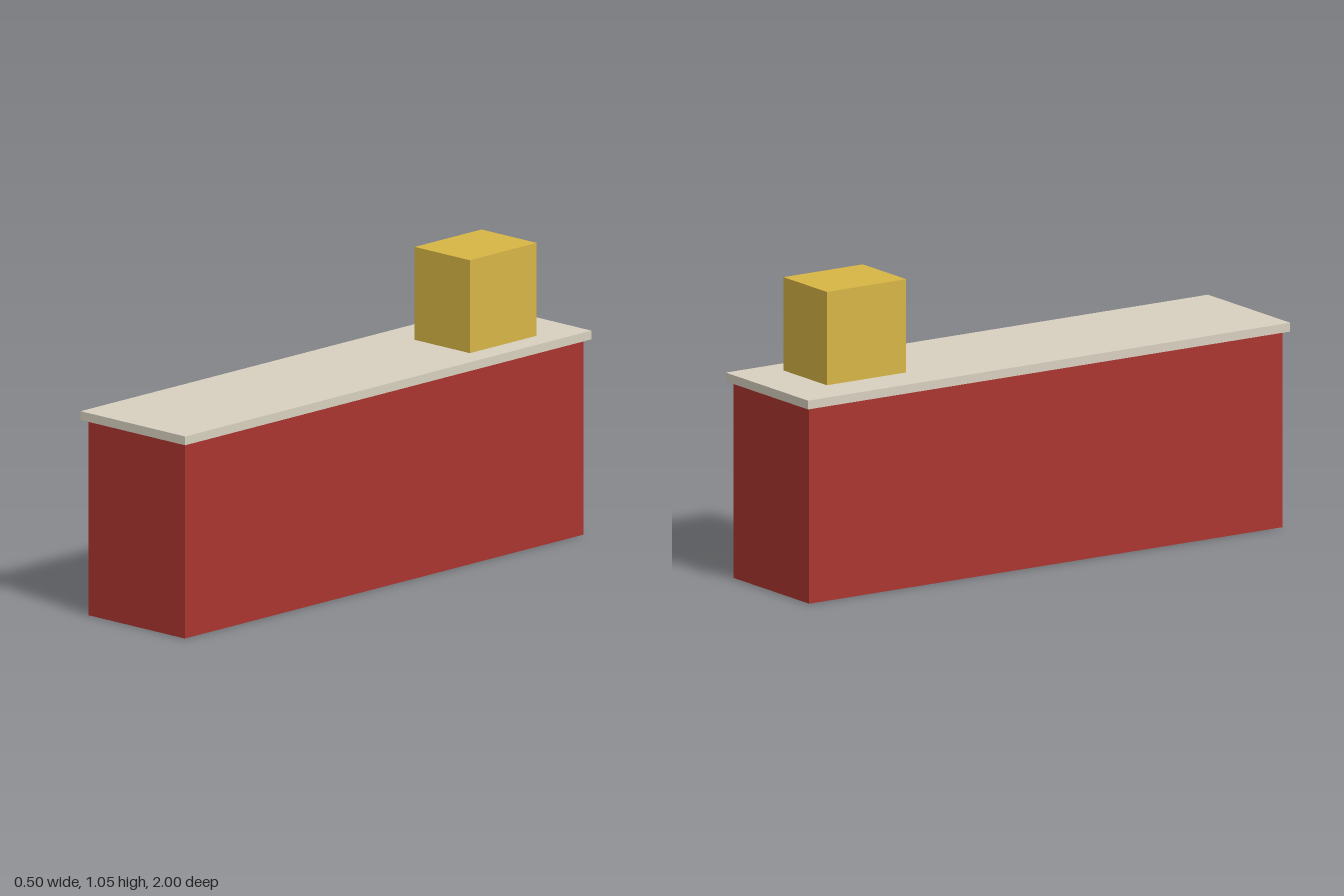
import * as THREE from 'three';

// Box given by its min and max corners
function block(name, color, [x0, y0, z0], [x1, y1, z1]) {
  const mesh = new THREE.Mesh(
    new THREE.BoxGeometry(x1 - x0, y1 - y0, z1 - z0),
    new THREE.MeshStandardMaterial({ color })
  );
  mesh.position.set((x0 + x1) / 2, (y0 + y1) / 2, (z0 + z1) / 2);
  mesh.name = name;
  return mesh;
}

export function createModel() {
  const model = new THREE.Group();
  model.name = 'counter';
  model.add(
    // Solid counter body
    block('counterBody', 0xaa352f, [-0.229, 0, -0.982], [0.229, 0.689, 0.982]),
    // Thin overhanging worktop
    block('counterTop', 0xd8d0bf, [-0.248, 0.689, -1], [0.248, 0.72, 1]),
    // Box standing near the back end
    block('register', 0xd6b545, [-0.1, 0.72, -0.82], [0.162, 1.048, -0.491])
  );
  return model;
}
